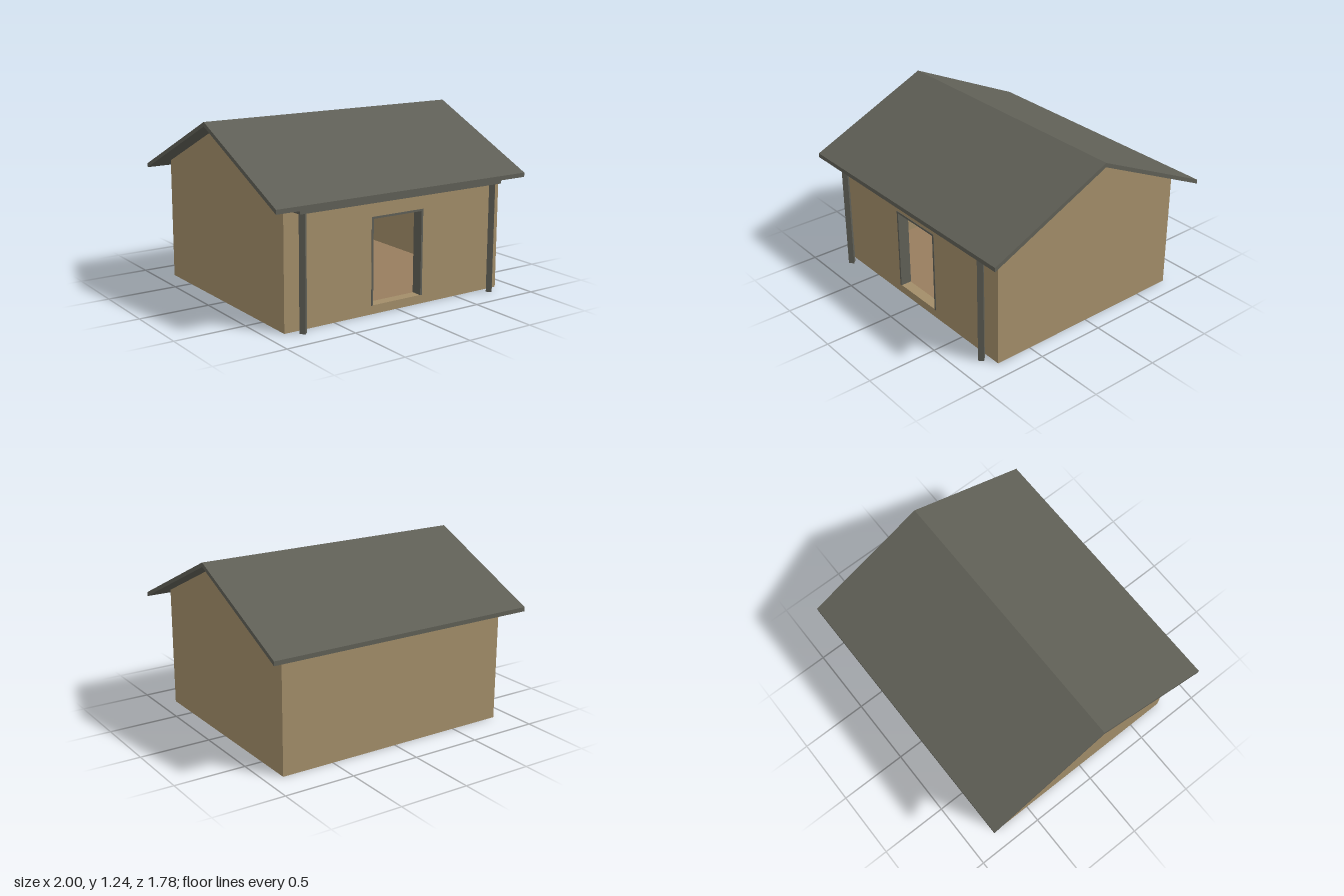
import * as THREE from 'three';

const material = (name, color) => {
  const m = new THREE.MeshStandardMaterial({ color });
  m.name = name;
  return m;
};

const shapeFrom = (points) => new THREE.Shape(points.map(([x, y]) => new THREE.Vector2(x, y)));

// Extrude a shape by depth, centred on its own plane.
const extrude = (shape, depth) => {
  const g = new THREE.ExtrudeGeometry(shape, { depth, bevelEnabled: false });
  return g.translate(0, 0, -depth / 2);
};

export function createModel() {
  const wallMat = material('tan wall', 0xa28d69);
  const roofMat = material('dark grey roof and trim', 0x5f5f56);
  const floorMat = material('wooden floor', 0x987d5e);

  const house = new THREE.Group();
  house.name = 'house';
  const add = (name, geometry, mat, x = 0, y = 0, z = 0) => {
    const mesh = new THREE.Mesh(geometry, mat);
    mesh.name = name;
    mesh.position.set(x, y, z);
    house.add(mesh);
    return mesh;
  };

  const halfW = 0.875, halfD = 0.767, t = 0.075;
  const eaveZ = 0.89, eaveY = 0.8, ridgeY = 1.21, roofT = 0.03;
  const roofUnder = (z) => ridgeY - ((ridgeY - eaveY) * z) / eaveZ;
  const innerW = (halfW - t) * 2, innerD = (halfD - t) * 2;
  const wallTop = 0.8, floorY = 0.06;

  // Gable walls reach right up to the roof.
  const gable = shapeFrom([
    [-halfD, 0], [halfD, 0], [halfD, roofUnder(halfD)], [0, ridgeY], [-halfD, roofUnder(halfD)],
  ]);
  for (const side of [-1, 1]) {
    const name = side > 0 ? 'leftGableWall' : 'rightGableWall';
    add(name, extrude(gable, t).rotateY(Math.PI / 2), wallMat, side * (halfW - t / 2));
  }

  // Back wall stops short of the roof.
  add('backWall', new THREE.BoxGeometry(innerW, wallTop, t), wallMat, 0, wallTop / 2, -halfD + t / 2);

  // Front wall with the doorway.
  const doorW = 0.21, doorTop = 0.655;
  const front = shapeFrom([[-innerW / 2, 0], [innerW / 2, 0], [innerW / 2, wallTop], [-innerW / 2, wallTop]]);
  front.holes.push(shapeFrom([[-doorW, floorY], [-doorW, doorTop], [doorW, doorTop], [doorW, floorY]]));
  add('frontWall', extrude(front, t), wallMat, 0, 0, halfD - t / 2);

  // Door frame lining the opening: two jambs and a head.
  const f = 0.014;
  const frame = shapeFrom([
    [-doorW, floorY], [-doorW + f, floorY], [-doorW + f, doorTop - f], [doorW - f, doorTop - f],
    [doorW - f, floorY], [doorW, floorY], [doorW, doorTop], [-doorW, doorTop],
  ]);
  add('doorFrame', extrude(frame, t + 0.006), roofMat, 0, 0, halfD - t / 2);

  // Base slab and floor boards.
  add('baseSlab', new THREE.BoxGeometry(innerW, floorY - 0.005, innerD), wallMat, 0, (floorY - 0.005) / 2, 0);
  add('floor', new THREE.BoxGeometry(innerW, 0.005, innerD), floorMat, 0, floorY - 0.0025, 0);

  // Gabled roof as one chevron section running along x.
  const chevron = shapeFrom([
    [-eaveZ, eaveY], [0, ridgeY], [eaveZ, eaveY],
    [eaveZ, eaveY + roofT], [0, ridgeY + roofT], [-eaveZ, eaveY + roofT],
  ]);
  add('roof', extrude(chevron, 2).rotateY(Math.PI / 2), roofMat);

  // Porch beam on two posts set corner-forward.
  const beamY = 0.77, porchZ = 0.82;
  add('porchBeam', new THREE.BoxGeometry(1.63, 0.06, 0.08), roofMat, 0, beamY + 0.03, porchZ);
  for (const side of [-1, 1]) {
    const post = new THREE.CylinderGeometry(0.028, 0.028, beamY, 4).toNonIndexed();
    post.computeVertexNormals();
    add(side > 0 ? 'leftPorchPost' : 'rightPorchPost', post, roofMat, side * 0.77, beamY / 2, porchZ);
  }
  return house;
}
